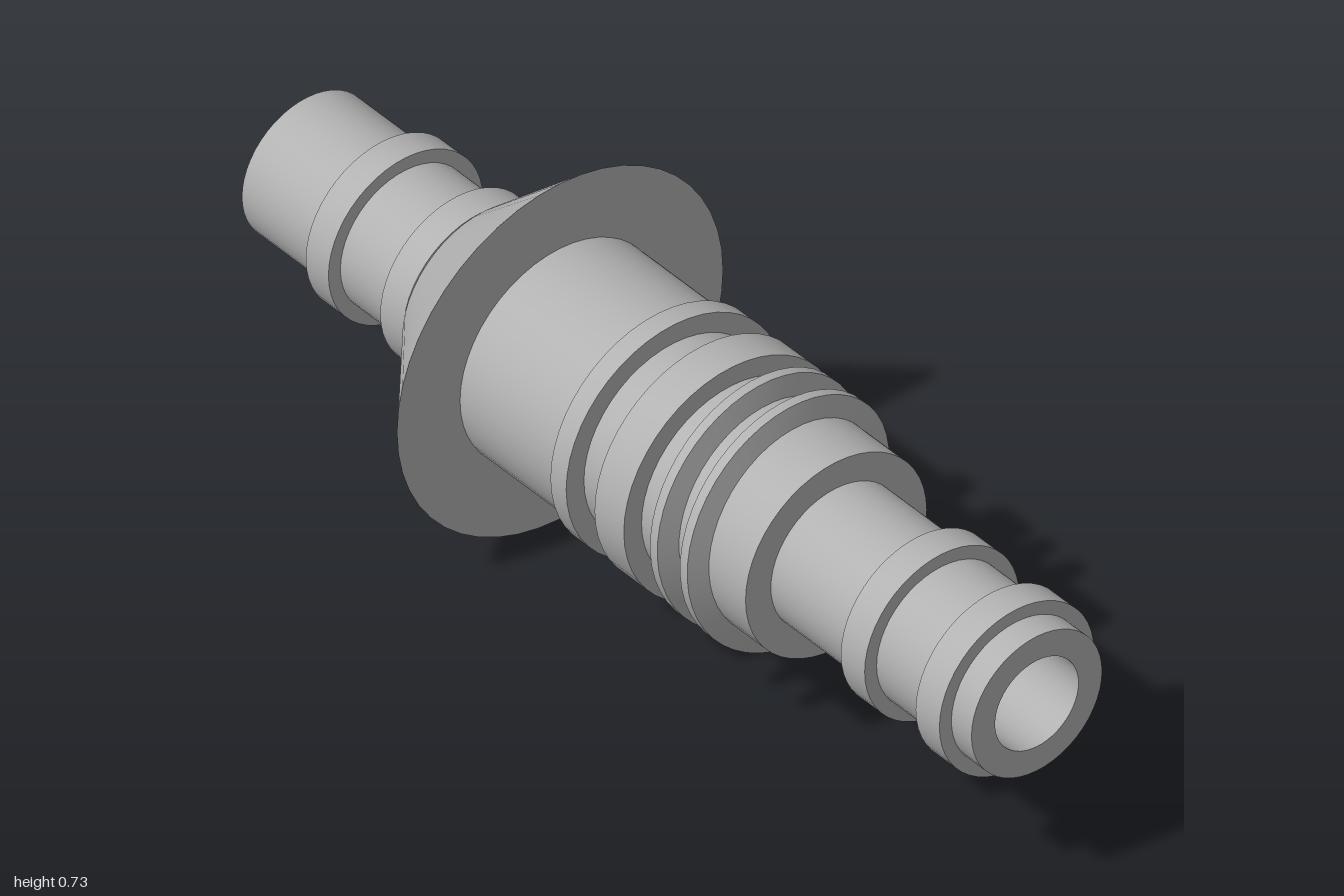
import * as THREE from 'three';
import { toCreasedNormals } from 'three/addons/utils/BufferGeometryUtils.js';

const SEGMENTS = 48;
const AXIS_HEIGHT = 0.367;
const BORE = 0.094;

// Solid of revolution about z; profile is [radius, z], counterclockwise and closed automatically
function turned(name, profile, material) {
  const points = [...profile, profile[0]].map(([r, z]) => new THREE.Vector2(r, z));
  const lathe = new THREE.LatheGeometry(points, SEGMENTS).rotateX(Math.PI / 2);
  const mesh = new THREE.Mesh(toCreasedNormals(lathe, 0.5), material);
  mesh.name = name;
  return mesh;
}

// Straight-sided sleeve between two z positions
function sleeve(name, inner, outer, z0, z1, material) {
  return turned(name, [[inner, z0], [outer, z0], [outer, z1], [inner, z1]], material);
}

// Trapezoid section swept along a helix, from +x downward and around
function threadGeometry(turns, zStart, zEnd) {
  const section = [[-0.022, 0.2], [-0.01, 0.244], [0.01, 0.244], [0.022, 0.2]];
  const steps = turns * SEGMENTS;
  const positions = [];
  const index = [];
  for (let i = 0; i <= steps; i++) {
    const t = i / steps;
    const a = t * turns * Math.PI * 2;
    for (const [dz, r] of section) {
      positions.push(r * Math.cos(a), -r * Math.sin(a), zStart + (zEnd - zStart) * t + dz);
    }
  }
  for (let i = 0; i < steps; i++) {
    for (let j = 0; j < 3; j++) {
      const p = i * 4 + j;
      index.push(p, p + 1, p + 4, p + 1, p + 5, p + 4);
    }
  }
  // End caps
  const e = steps * 4;
  index.push(0, 2, 1, 0, 3, 2, e, e + 1, e + 2, e, e + 2, e + 3);
  const geometry = new THREE.BufferGeometry();
  geometry.setAttribute('position', new THREE.Float32BufferAttribute(positions, 3));
  geometry.setIndex(index);
  return toCreasedNormals(geometry, 0.5);
}

export function createModel() {
  const grey = new THREE.MeshStandardMaterial({ color: 0xb2b2b2 });
  grey.name = 'grey';

  const model = new THREE.Group();
  model.name = 'hoseCoupling';
  const fitting = new THREE.Group();
  fitting.name = 'fitting';
  fitting.position.y = AXIS_HEIGHT;
  model.add(fitting);

  // Hollow stem running the full length
  fitting.add(sleeve('stem', BORE, 0.147, -1, 1, grey));

  // Hose ridges, two on each end
  const ridges = [[0.88, 0.945], [0.675, 0.74], [-0.588, -0.525], [-0.792, -0.73]];
  ridges.forEach(([z0, z1], i) => {
    fitting.add(sleeve(`hoseRidge${i + 1}`, 0.13, 0.174, z0, z1, grey));
  });

  // Threaded collar with its two raised rings
  fitting.add(sleeve('collar', 0.13, 0.204, -0.02, 0.45, grey));
  fitting.add(sleeve('stopRing', 0.18, 0.244, 0.085, 0.165, grey));
  fitting.add(sleeve('bodyRing', 0.18, 0.244, -0.036, 0.007, grey));

  // Main body and conical flange
  fitting.add(sleeve('body', 0.13, 0.225, -0.32, -0.03, grey));
  fitting.add(turned('flange', [[0.13, -0.513], [0.186, -0.513], [0.367, -0.307], [0.13, -0.307]], grey));

  // Two turns of screw thread
  const thread = new THREE.Mesh(threadGeometry(2, 0.37, 0.206), grey);
  thread.name = 'thread';
  fitting.add(thread);

  return model;
}
